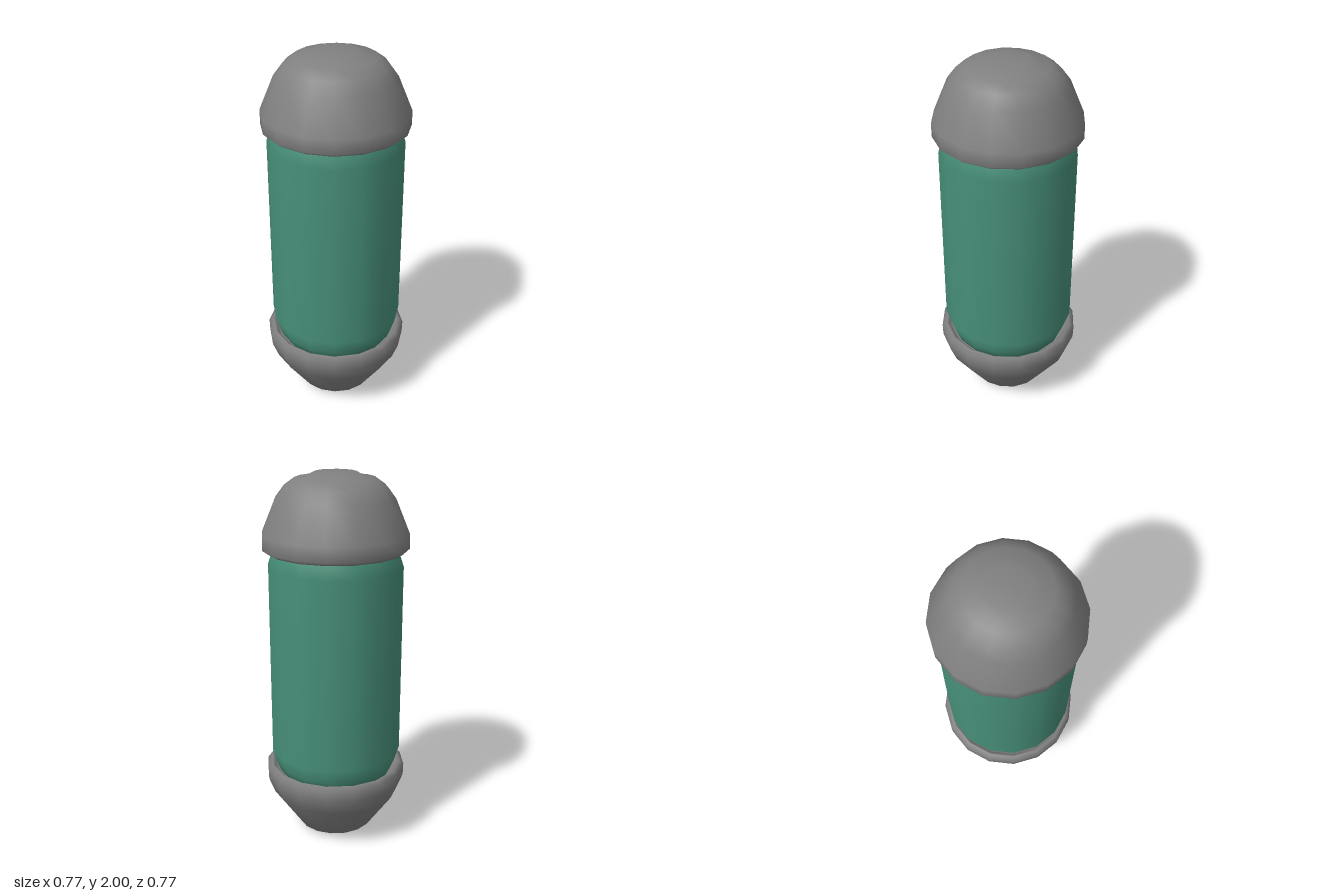
import * as THREE from 'three';

const SIDES = 16;

// Turn a bottom-to-top [radius, height] profile into a 16-sided solid
function turned(name, profile, material) {
  const points = profile.map(([r, y]) => new THREE.Vector2(r, y));
  const mesh = new THREE.Mesh(new THREE.LatheGeometry(points, SIDES), material);
  mesh.name = name;
  return mesh;
}

export function createModel() {
  const grey = new THREE.MeshStandardMaterial({ color: 0x808080 });
  grey.name = 'capGrey';
  const green = new THREE.MeshStandardMaterial({ color: 0x478f79 });
  green.name = 'bodyGreen';

  const group = new THREE.Group();
  group.name = 'capsule';

  // Green cylinder with tapered ends tucked into the caps
  group.add(turned('body', [
    [0, 0.36], [0.31, 0.36], [0.33, 0.41], [0.357, 0.495],
    [0.357, 1.52], [0.33, 1.6], [0.31, 1.65], [0, 1.65],
  ], green));

  // Tapered lower cup with a rolled rim
  group.add(turned('bottomCap', [
    [0, 0], [0.145, 0.005], [0.205, 0.035], [0.35, 0.24], [0.383, 0.325],
    [0.385, 0.39], [0.36, 0.41], [0.345, 0.4], [0.32, 0.37], [0, 0.37],
  ], grey));

  // Domed upper cap with a rim and a small raised crown
  group.add(turned('topCap', [
    [0, 1.63], [0.32, 1.63], [0.345, 1.605], [0.36, 1.597], [0.385, 1.615],
    [0.385, 1.69], [0.31, 1.87], [0.265, 1.93], [0.21, 1.97],
    [0.15, 1.978], [0.11, 2], [0, 2],
  ], grey));

  return group;
}
